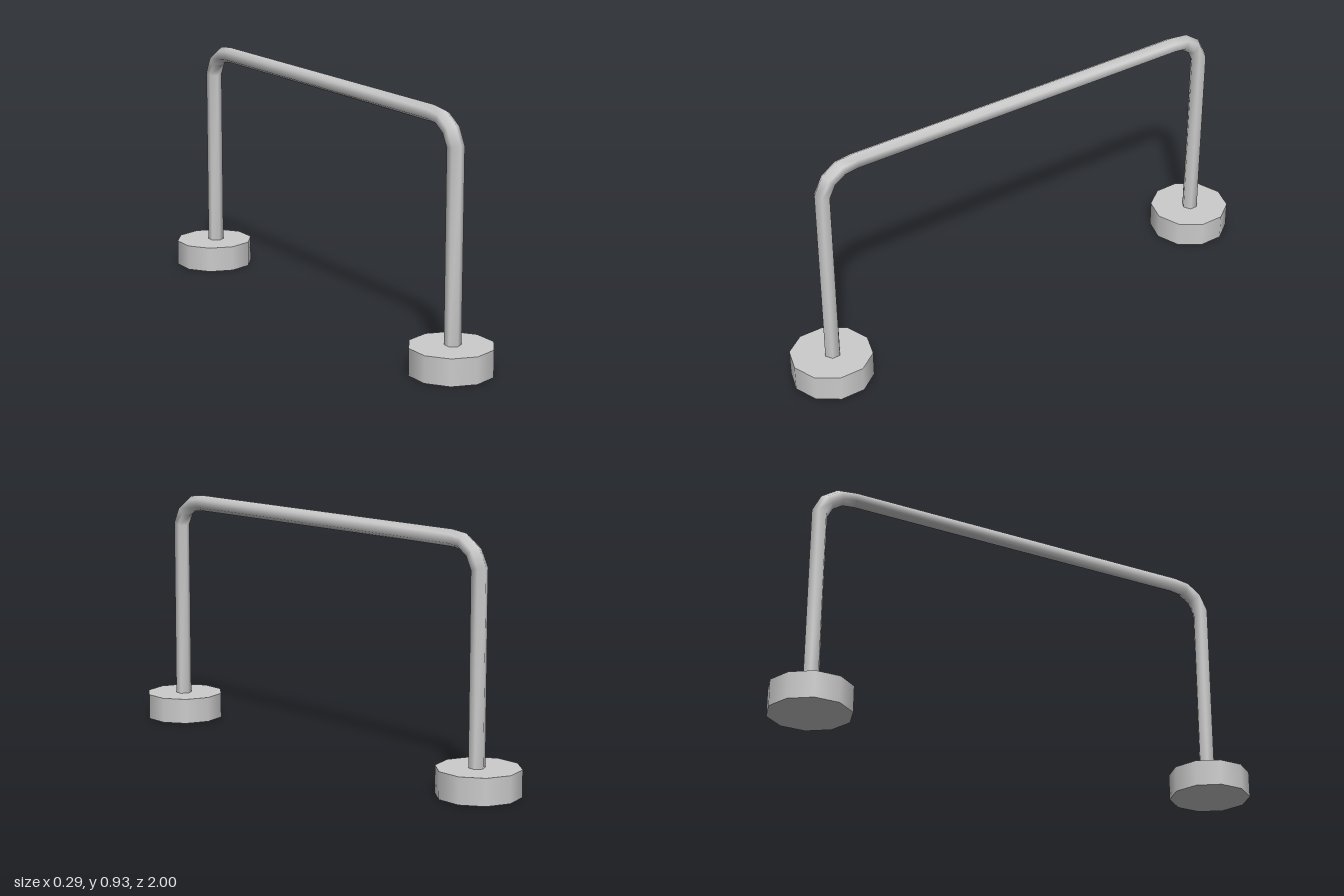
import * as THREE from 'three';

const SIDES = 6;
const BAR_RADIUS = 0.031;
const BAR_X = 0.007;

// Sweeps a hexagonal section along a path of [z, y] points, mitred at each bend.
function sweepBar(path) {
  const positions = [], indices = [];
  const points = path.map(([z, y]) => new THREE.Vector2(z, y));
  points.forEach((p, i) => {
    const before = p.clone().sub(points[Math.max(i - 1, 0)]).normalize();
    const after = points[Math.min(i + 1, points.length - 1)].clone().sub(p).normalize();
    const tangent = before.clone().add(after).normalize();
    const inner = i > 0 && i < points.length - 1;
    const stretch = inner ? 1 / tangent.dot(after) : 1;
    for (let j = 0; j < SIDES; j++) {
      const a = Math.PI / 6 + (j / SIDES) * Math.PI * 2;
      const out = Math.sin(a) * BAR_RADIUS * stretch;
      positions.push(
        BAR_X + Math.cos(a) * BAR_RADIUS,
        p.y - tangent.x * out,
        p.x + tangent.y * out
      );
      if (i < points.length - 1) {
        const k = (j + 1) % SIDES;
        const r0 = i * SIDES, r1 = r0 + SIDES;
        indices.push(r0 + j, r1 + j, r0 + k, r0 + k, r1 + j, r1 + k);
      }
    }
  });
  const geometry = new THREE.BufferGeometry();
  geometry.setAttribute('position', new THREE.Float32BufferAttribute(positions, 3));
  geometry.setIndex(indices);
  geometry.computeVertexNormals();
  return geometry;
}

export function createModel() {
  const group = new THREE.Group();
  const material = new THREE.MeshStandardMaterial({ color: 0xcccccc });

  // Bent bar: front leg and bend, mirrored to the back
  const half = [[0.843, 0.09], [0.842, 0.802], [0.814, 0.856], [0.764, 0.889], [0.706, 0.896]];
  const path = [...half, ...half.map(([z, y]) => [-z, y]).reverse()];
  const bar = new THREE.Mesh(sweepBar(path), material);
  bar.name = 'bentBar';
  group.add(bar);

  // Ten-sided feet
  const footGeometry = new THREE.CylinderGeometry(0.155, 0.155, 0.1, 10);
  for (const [name, side] of [['frontFoot', 1], ['backFoot', -1]]) {
    const foot = new THREE.Mesh(footGeometry, material);
    foot.name = name;
    foot.position.set(0, 0.05, side * 0.845);
    group.add(foot);
  }
  return group;
}
